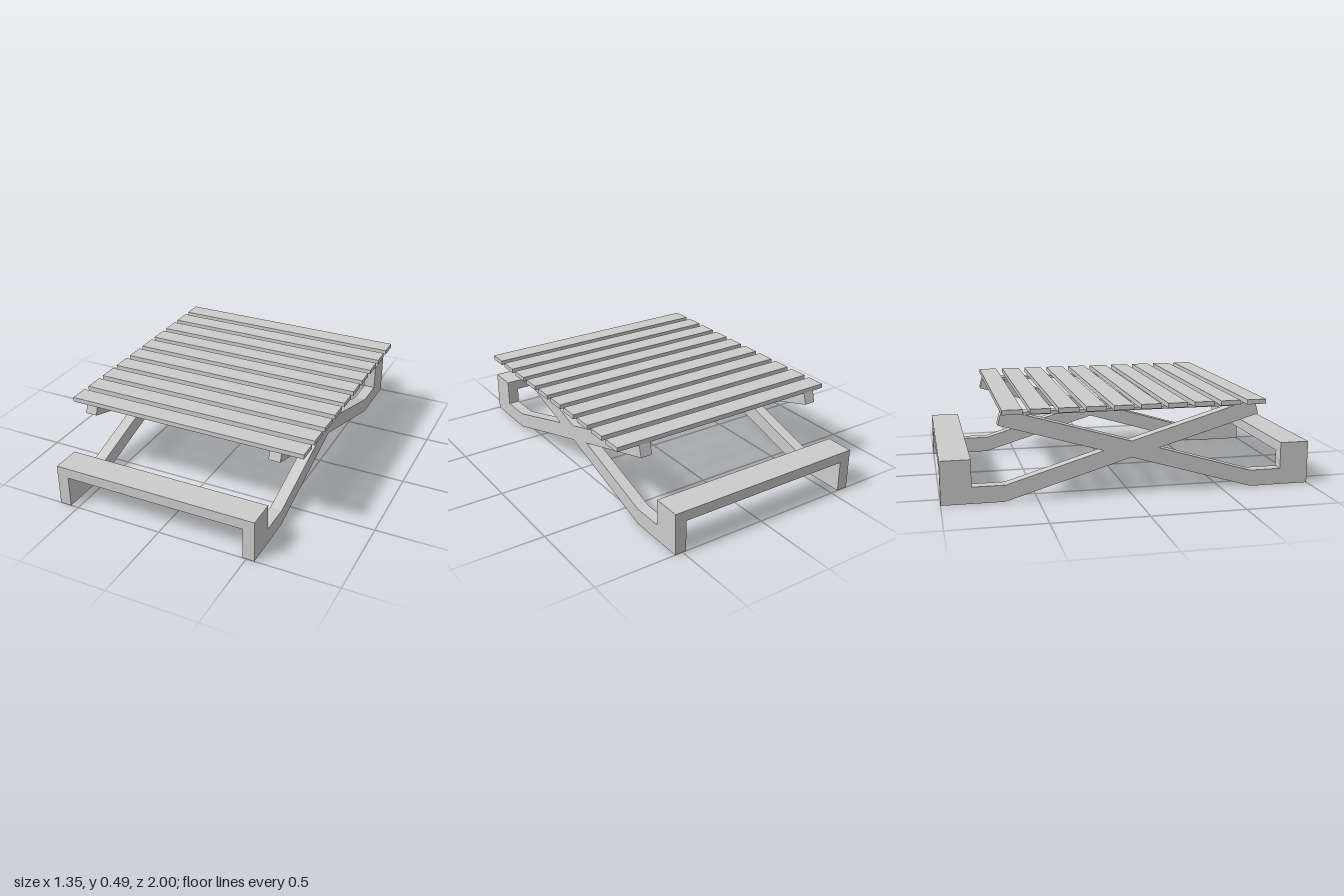
import * as THREE from 'three';

const material = new THREE.MeshStandardMaterial({ color: 0xcccccc, flatShading: true });

function box(name, size, position) {
  const mesh = new THREE.Mesh(new THREE.BoxGeometry(...size), material);
  mesh.name = name;
  mesh.position.set(...position);
  return mesh;
}

export function createModel() {
  const group = new THREE.Group();
  group.name = 'picnicTable';

  const frameWidth = 0.065;
  const sides = { right: -0.578, left: 0.512 };

  // Half outline of a crossed side frame, from lower notch to upper notch (z, y)
  const half = [
    [0, 0.205], [0.67, 0.006], [1, 0.006], [1, 0.24], [0.84, 0.24], [0.84, 0.095],
    [0.665, 0.095], [0.15, 0.249], [0.7, 0.41], [0.682, 0.475], [0.62, 0.475], [0, 0.293],
  ];
  const mirrored = half.slice(1, -1).reverse().map(([z, y]) => [-z, y]);
  const outline = new THREE.Shape([...half, ...mirrored].map(([z, y]) => new THREE.Vector2(z, y)));
  const frameGeometry = new THREE.ExtrudeGeometry(outline, { depth: frameWidth, bevelEnabled: false });
  frameGeometry.translate(0, 0, -frameWidth / 2).rotateY(-Math.PI / 2);

  // Side frames, each with a thin rail under the slats
  for (const [side, x] of Object.entries(sides)) {
    const frame = new THREE.Mesh(frameGeometry, material);
    frame.name = side + 'CrossFrame';
    frame.position.x = x;
    group.add(frame);
    group.add(box(side + 'TopRail', [frameWidth - 0.004, 0.016, 1.14], [x, 0.466, 0]));
  }

  // Bench seats spanning between the frames
  const span = sides.left - sides.right - frameWidth;
  const middle = (sides.left + sides.right) / 2;
  for (const [name, s] of [['frontBench', 1], ['backBench', -1]]) {
    group.add(box(name, [span, 0.058, 0.16], [middle, 0.211, s * 0.92]));
  }

  // Table top slats
  for (let i = 0; i < 10; i++) {
    group.add(box('slat' + (i + 1), [1.35, 0.025, 0.106], [0, 0.4875, -0.632 + i * 0.144]));
  }

  // Rest the feet on the ground
  group.children.forEach((part) => { part.position.y -= 0.006; });
  return group;
}
